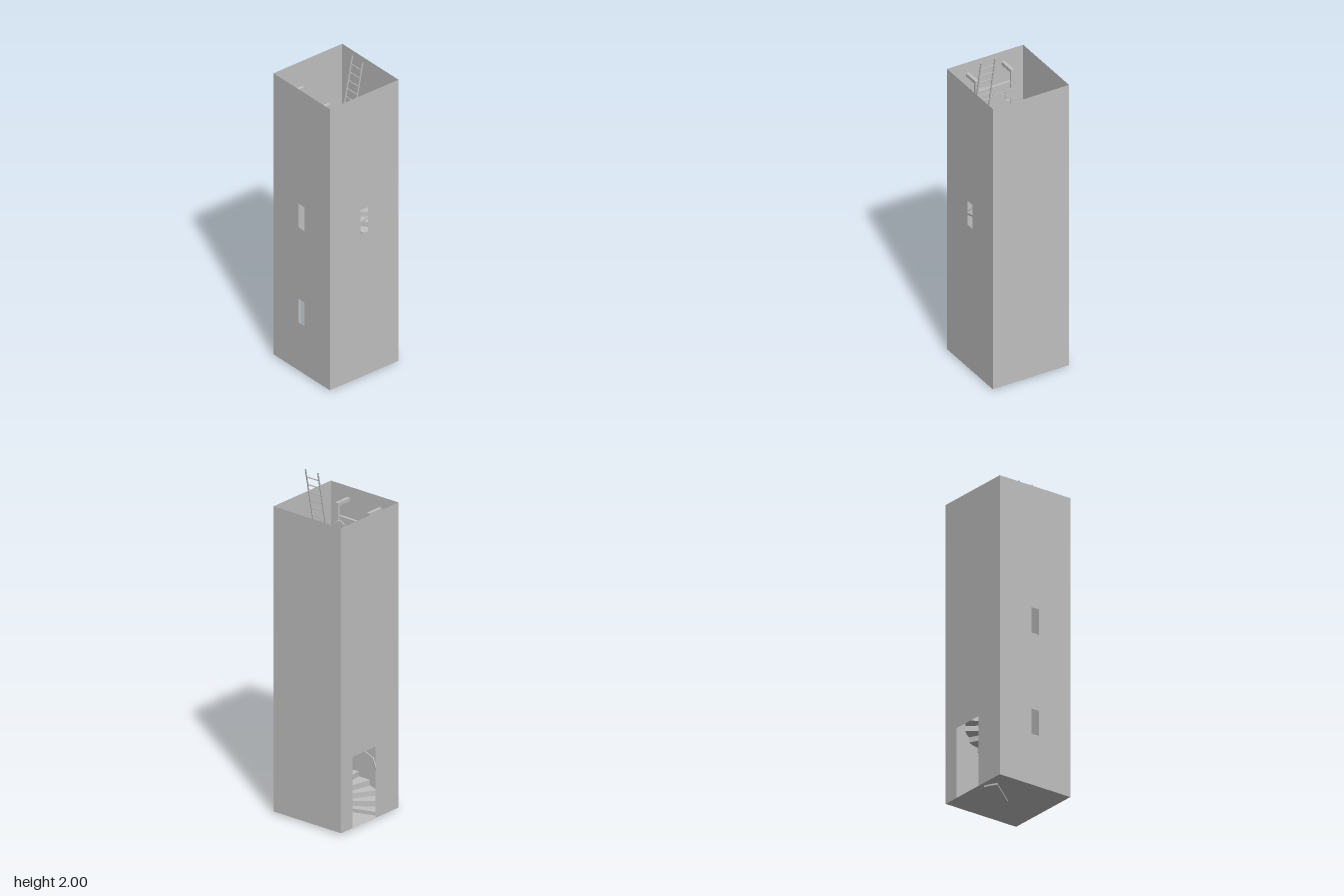
import * as THREE from 'three';

const stone = new THREE.MeshStandardMaterial({ color: 0xc0c0c0, side: THREE.DoubleSide });
stone.name = 'grey';

const HALF = 0.245, BASE = 0.01, TOP = 1.83, LOFT = 1.32;
const STEPS = 42, RISE = LOFT / STEPS, START = 162, TURN = 20;
const rad = THREE.MathUtils.degToRad;
const polar = (r, deg, y = 0) => new THREE.Vector3(r * Math.cos(rad(deg)), y, r * Math.sin(rad(deg)));

function add(parent, name, geometry, x = 0, y = 0, z = 0) {
  const mesh = new THREE.Mesh(geometry, stone);
  mesh.name = name;
  mesh.position.set(x, y, z);
  parent.add(mesh);
  return mesh;
}

// Straight bar between two points
function bar(parent, name, a, b, w, h) {
  const mesh = add(parent, name, new THREE.BoxGeometry(w, h, a.distanceTo(b)));
  mesh.position.copy(a).add(b).multiplyScalar(0.5);
  mesh.lookAt(b);
  return mesh;
}

function rectangle(Type, x0, y0, x1, y1) {
  const s = new Type();
  s.moveTo(x0, y0);
  s.lineTo(x1, y0);
  s.lineTo(x1, y1);
  s.lineTo(x0, y1);
  s.closePath();
  return s;
}

// Horizontal slab whose outline lies in x and z, top face at y = 0
function slab(shape, depth) {
  return new THREE.ExtrudeGeometry(shape, { depth, bevelEnabled: false }).rotateX(Math.PI / 2);
}

function wall(parent, name, angle, holes) {
  const s = rectangle(THREE.Shape, -HALF, BASE, HALF, TOP);
  for (const h of holes) s.holes.push(rectangle(THREE.Path, ...h));
  const g = new THREE.ShapeGeometry(s).translate(0, 0, HALF).rotateY(angle);
  add(parent, name, g);
}

function gearGeometry(radius, teeth, depth) {
  const pts = [];
  for (let i = 0; i < teeth * 4; i++) {
    const r = i % 4 < 2 ? radius : radius * 0.88;
    const a = (i / (teeth * 4)) * Math.PI * 2;
    pts.push(new THREE.Vector2(r * Math.cos(a), r * Math.sin(a)));
  }
  const s = new THREE.Shape(pts);
  const hole = new THREE.Path();
  hole.absarc(0, 0, radius * 0.12, 0, Math.PI * 2, true);
  s.holes.push(hole);
  return new THREE.ExtrudeGeometry(s, { depth, bevelEnabled: false, curveSegments: 8 })
    .translate(0, 0, -depth / 2);
}

export function createModel() {
  const model = new THREE.Group();
  model.name = 'tower';

  // Thin walls with windows and a doorway
  const walls = new THREE.Group();
  walls.name = 'walls';
  model.add(walls);
  const upper = [-0.026, 0.935, 0.026, 1.09], lower = [-0.026, 0.32, 0.026, 0.473];
  wall(walls, 'frontWall', 0, [upper, lower]);
  wall(walls, 'leftWall', Math.PI / 2, [upper]);
  wall(walls, 'backWall', Math.PI, []);
  wall(walls, 'rightWall', -Math.PI / 2, [[-0.147, BASE + 0.001, 0.05, 0.435]]);

  // Ground floor
  add(model, 'groundFloor', new THREE.PlaneGeometry(HALF * 2, HALF * 2).rotateX(-Math.PI / 2), 0, BASE, 0);

  // Loft floor with the stair opening
  const loft = rectangle(THREE.Shape, -0.244, -0.244, 0.244, 0.244);
  const opening = new THREE.Path();
  opening.moveTo(0, 0);
  for (let d = -15; d >= -298; d -= 283 / 28) {
    const p = polar(0.236, d);
    opening.lineTo(p.x, p.z);
  }
  const end = polar(0.236, -298);
  opening.lineTo(end.x, end.z);
  opening.closePath();
  loft.holes.push(opening);
  add(model, 'loftFloor', slab(loft, 0.02), 0, LOFT, 0);

  // Spiral stair around a central column
  const stair = new THREE.Group();
  stair.name = 'spiralStair';
  model.add(stair);
  add(stair, 'column', new THREE.CylinderGeometry(0.024, 0.024, LOFT, 24), 0, BASE + LOFT / 2, 0);
  const wedge = new THREE.Shape();
  wedge.moveTo(0, 0);
  for (const d of [0, -TURN / 2, -TURN]) {
    const p = polar(0.236, d);
    wedge.lineTo(p.x, p.z);
  }
  wedge.closePath();
  const treadGeometry = slab(wedge, RISE);
  for (let i = 0; i < STEPS - 1; i++) {
    const tread = add(stair, 'step', treadGeometry, 0, (i + 1) * RISE, 0);
    tread.rotation.y = -rad(START - i * TURN);
  }

  // Handrail in straight lengths, with wall brackets
  const railPoint = (d, r = 0.239) => polar(r, d, ((START - d) / TURN) * RISE + 0.18);
  for (let d = 149; d > -691; d -= 40) {
    bar(stair, 'handrail', railPoint(d), railPoint(d - 40), 0.006, 0.01);
  }

  // Ladder from the loft to above the wall tops
  const ladder = new THREE.Group();
  ladder.name = 'ladder';
  model.add(ladder);
  const foot = (x) => new THREE.Vector3(x, LOFT, 0.104);
  const head = (x) => new THREE.Vector3(x, 1.999, -0.033);
  for (const x of [0.103, 0.193]) bar(ladder, 'ladderRail', foot(x), head(x), 0.006, 0.007);
  for (let i = 1; i <= 13; i++) {
    const t = i / 14;
    const a = foot(0.103).lerp(head(0.103), t);
    const b = foot(0.193).lerp(head(0.193), t);
    bar(ladder, 'rung', a, b, 0.005, 0.005);
  }

  // Gear frame hung from two beams on the front wall
  const works = new THREE.Group();
  works.name = 'gearWorks';
  model.add(works);
  for (const x of [-0.115, 0.115]) {
    add(works, 'frameBeam', new THREE.BoxGeometry(0.02, 0.02, 0.104), x, 1.755, 0.192);
    add(works, 'framePost', new THREE.BoxGeometry(0.02, 0.28, 0.015), x, 1.625, 0.148);
  }
  for (const y of [1.68, 1.56]) {
    add(works, 'crossBeam', new THREE.BoxGeometry(0.262, 0.016, 0.016), 0, y, 0.155);
  }
  add(works, 'largeGear', gearGeometry(0.075, 24, 0.007), 0, 1.58, 0.135);
  add(works, 'smallGear', gearGeometry(0.046, 16, 0.008), 0.074, 1.63, 0.122);
  add(works, 'smallGear', gearGeometry(0.036, 14, 0.008), -0.085, 1.63, 0.122);
  const axle = (r, len) => new THREE.CylinderGeometry(r, r, len, 10).rotateX(Math.PI / 2);
  add(works, 'mainShaft', axle(0.004, 0.129), 0, 1.58, 0.18);
  add(works, 'axle', axle(0.004, 0.04), 0.074, 1.63, 0.138);
  add(works, 'axle', axle(0.004, 0.04), -0.085, 1.63, 0.138);

  return model;
}
